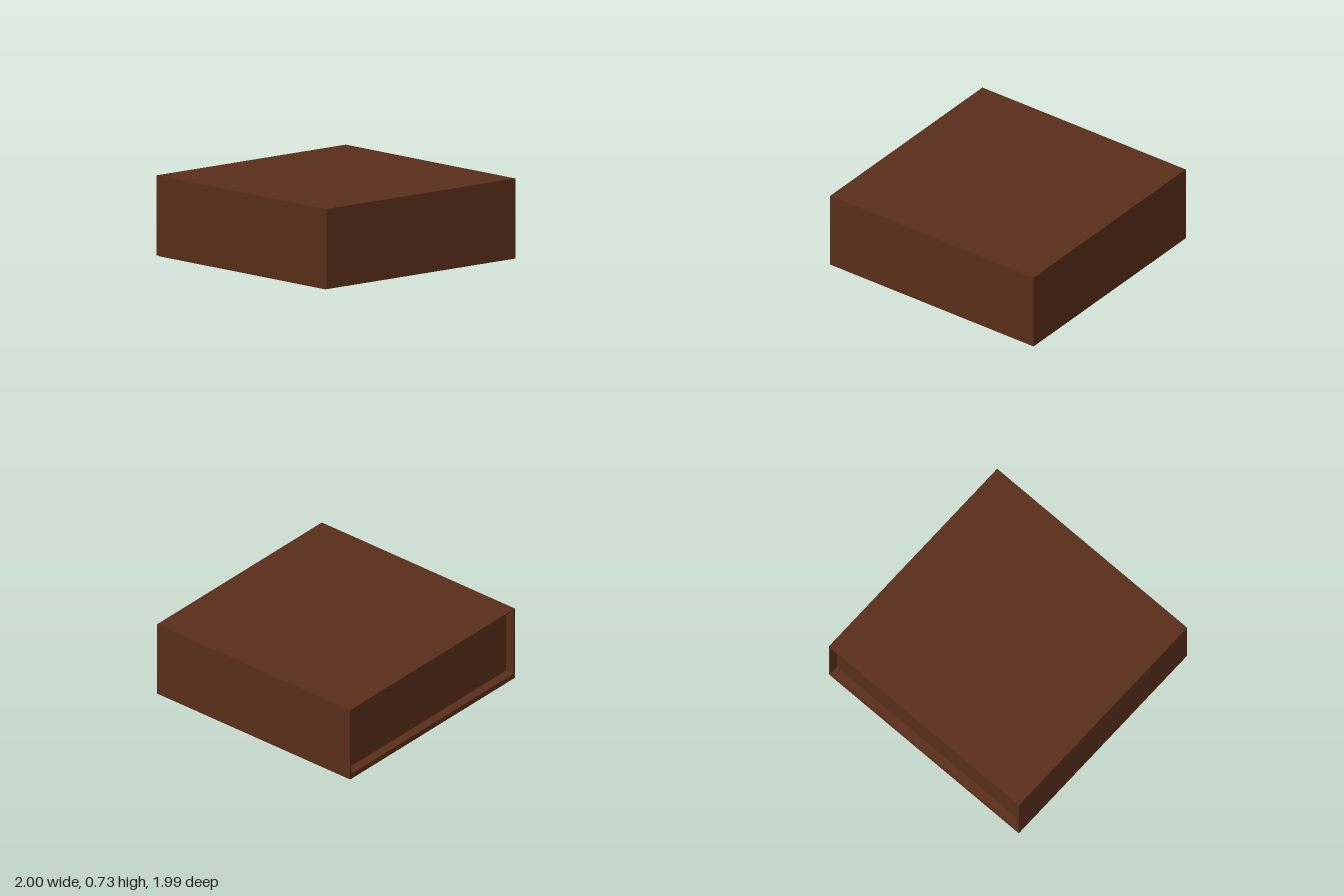
import * as THREE from 'three';

const wood = new THREE.MeshStandardMaterial({ color: 0x5a2f1a });
const metal = new THREE.MeshStandardMaterial({ color: 0x808080 });

// Box given by its minimum and maximum corners
function panel(group, name, [x0, y0, z0], [x1, y1, z1]) {
  const mesh = new THREE.Mesh(new THREE.BoxGeometry(x1 - x0, y1 - y0, z1 - z0), wood);
  mesh.position.set((x0 + x1) / 2, (y0 + y1) / 2, (z0 + z1) / 2);
  mesh.name = name;
  group.add(mesh);
}

// Flat bow pull hanging below the doors, drawn in the z/y plane
function handleGeometry(width) {
  const shape = new THREE.Shape();
  shape.moveTo(-0.068, 0.08);
  shape.lineTo(-0.055, 0.055);
  shape.absellipse(0, 0.055, 0.055, 0.055, Math.PI, Math.PI * 2, false);
  shape.lineTo(0.068, 0.08);
  shape.lineTo(0.048, 0.08);
  shape.lineTo(0.043, 0.055);
  shape.absellipse(0, 0.055, 0.043, 0.043, 0, Math.PI, true);
  shape.lineTo(-0.048, 0.08);
  shape.closePath();
  const geometry = new THREE.ExtrudeGeometry(shape, { depth: width, bevelEnabled: false, curveSegments: 16 });
  geometry.translate(0, 0, -width / 2);
  geometry.rotateY(-Math.PI / 2);
  return geometry;
}

export function createModel() {
  const model = new THREE.Group();
  model.name = 'cabinet';
  const X = 1, Z = 0.995, top = 0.725, base = 0.085;
  const t = 0.018, recess = 0.075, frameTop = 0.13, stile = 0.07;

  // Carcass: a cabinet lying on its doors
  panel(model, 'backPanel', [-X, top - 0.012, -Z], [X, top, Z]);
  panel(model, 'endPanel', [-X + t, base, Z - t], [X - t, top - 0.012, Z]);
  panel(model, 'recessedEndPanel', [-X + t, frameTop, -Z + recess], [X - t, top - 0.012, -Z + recess + t]);
  for (const s of [-1, 1]) {
    const a = s * X, b = s * (X - t), c = s * (X - t - stile);
    panel(model, 'sidePanel', [Math.min(a, b), base, -Z], [Math.max(a, b), top - 0.012, Z]);
    panel(model, 'frameStile', [Math.min(b, c), base, -Z + 0.1], [Math.max(b, c), frameTop, Z - 0.1]);
  }

  // Face frame rails
  panel(model, 'frameRail', [-X + t, base, -Z], [X - t, frameTop, -Z + 0.1]);
  panel(model, 'frameRail', [-X + t, base, Z - 0.1], [X - t, frameTop, Z - t]);

  // Pair of doors with their pulls
  const pull = handleGeometry(0.024);
  for (const s of [-1, 1]) {
    const inner = s * 0.002, outer = s * 0.99;
    panel(model, 'door', [Math.min(inner, outer), 0.079, -0.972], [Math.max(inner, outer), base, 0.972]);
    const handle = new THREE.Mesh(pull, metal);
    handle.name = 'handle';
    handle.position.set(s * 0.075, 0, 0.035);
    model.add(handle);
  }
  return model;
}
